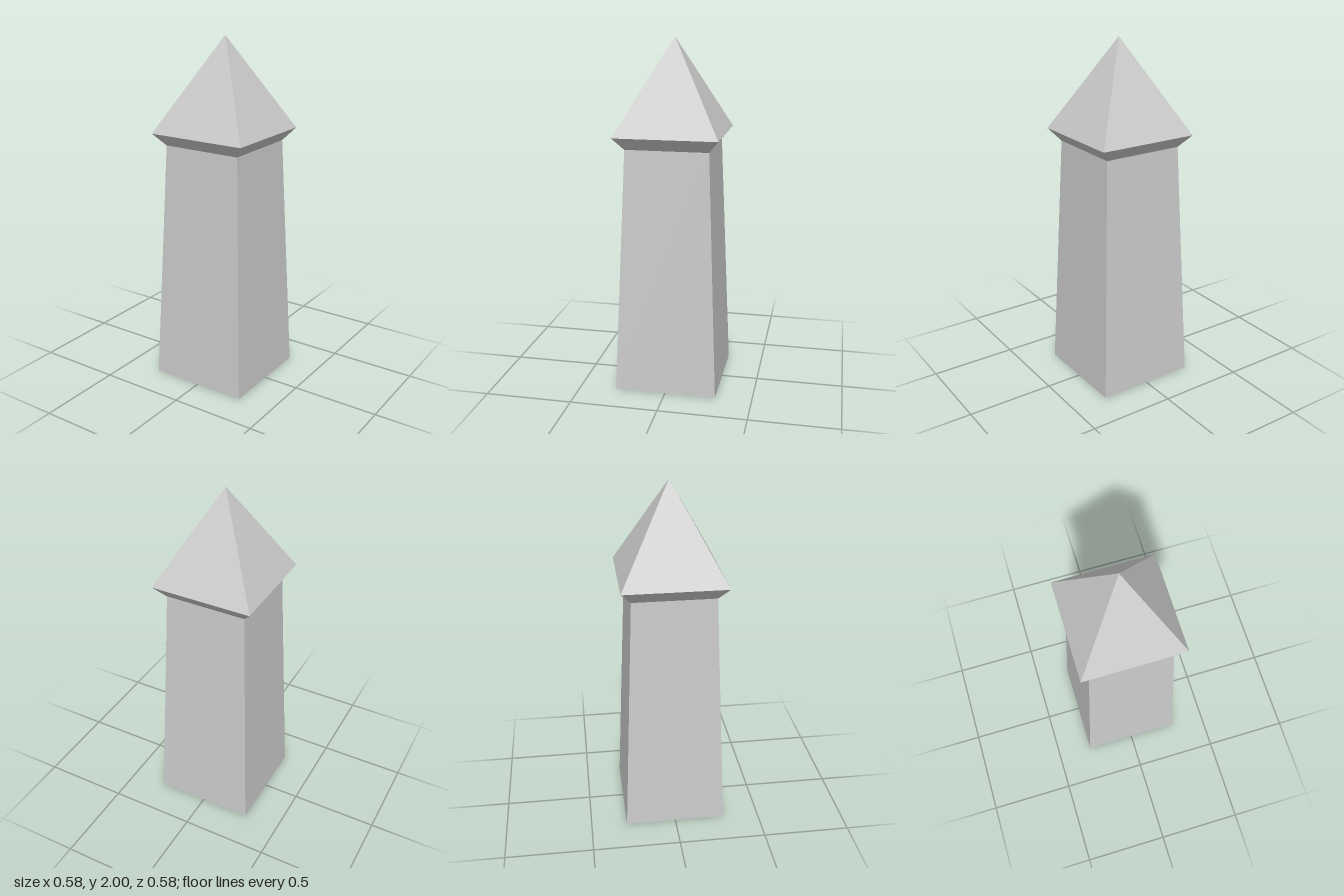
import * as THREE from 'three';

const material = new THREE.MeshStandardMaterial({ color: 0xcccccc, flatShading: true });

// Square tapered section between two heights, given half-widths at bottom and top
function section(name, y0, half0, y1, half1) {
  const geometry = new THREE.CylinderGeometry(
    half1 * Math.SQRT2, half0 * Math.SQRT2, y1 - y0, 4, 1, true);
  geometry.rotateY(Math.PI / 4);
  geometry.translate(0, (y0 + y1) / 2, 0);
  const mesh = new THREE.Mesh(geometry, material);
  mesh.name = name;
  return mesh;
}

export function createModel() {
  const group = new THREE.Group();
  group.name = 'tower';

  const base = 0.291, neck = 0.234, eave = 0.291;

  // Tapering shaft, flared eave and pyramid roof
  group.add(section('shaft', 0, base, 1.403, neck));
  group.add(section('eave', 1.403, neck, 1.473, eave));
  group.add(section('roof', 1.473, eave, 2, 0));

  // Underside closing the shaft
  const floor = new THREE.Mesh(new THREE.PlaneGeometry(base * 2, base * 2), material);
  floor.geometry.rotateX(Math.PI / 2);
  floor.name = 'underside';
  group.add(floor);

  return group;
}
